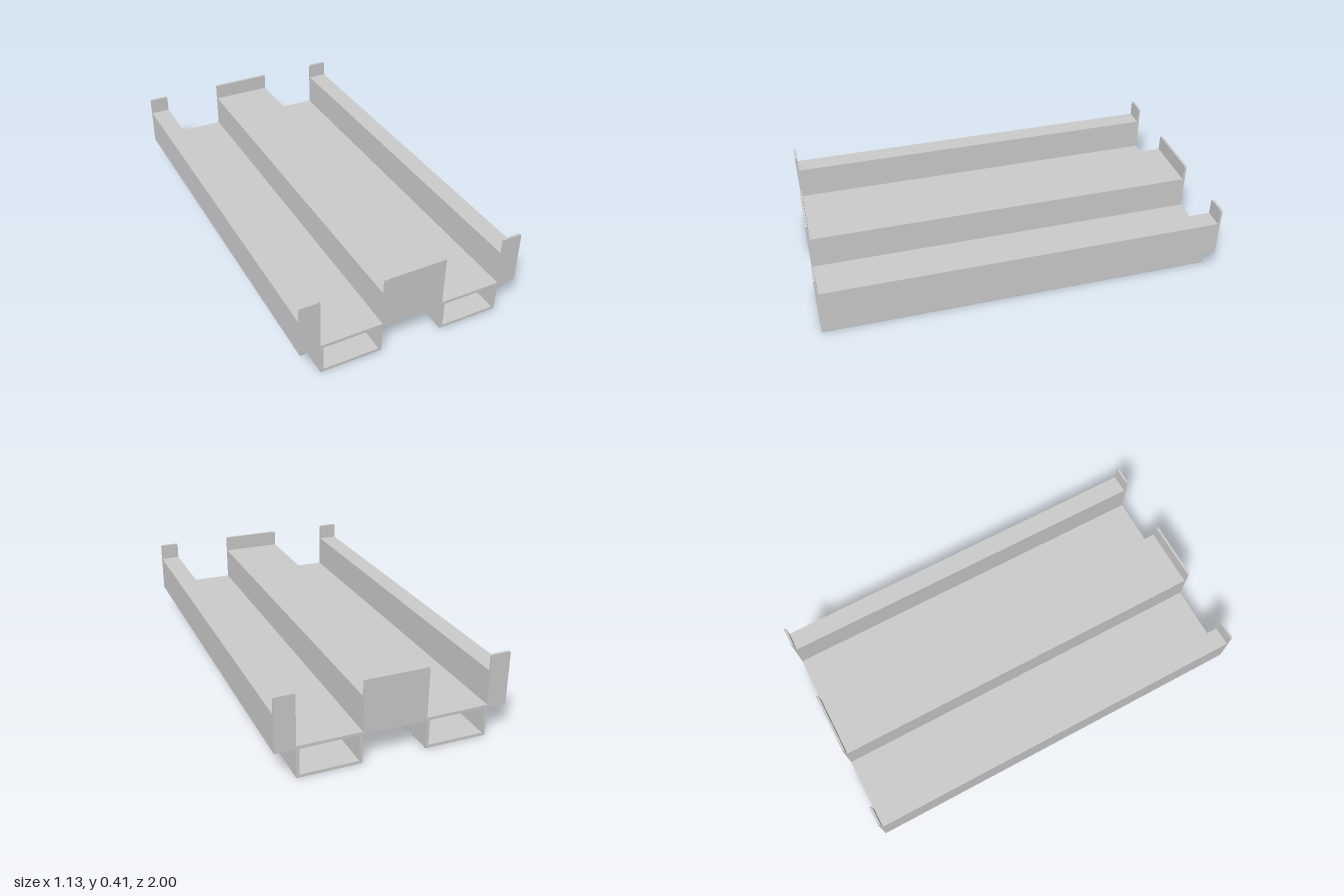
import * as THREE from 'three';

const LENGTH = 2, LIP = 0.012;   // overall length, end lip thickness
const INNER = 0.157, OUTER = 0.467, EDGE = 0.565; // channel and rail limits in x
const DECK = 0.16, WALL = 0.015, RAIL_TOP = 0.33, LIP_TOP = 0.413;

const material = new THREE.MeshStandardMaterial({ color: 0xcccccc, flatShading: true });

function add(group, name, geometry) {
  const mesh = new THREE.Mesh(geometry, material);
  mesh.name = name;
  group.add(mesh);
  return mesh;
}

// Rectangle outline with separately rounded bottom and top corners
function outline(Type, x0, x1, y0, y1, rb, rt) {
  const s = new Type();
  s.moveTo(x0 + rb, y0);
  s.lineTo(x1 - rb, y0);
  if (rb) s.quadraticCurveTo(x1, y0, x1, y0 + rb);
  s.lineTo(x1, y1 - rt);
  if (rt) s.quadraticCurveTo(x1, y1, x1 - rt, y1);
  s.lineTo(x0 + rt, y1);
  if (rt) s.quadraticCurveTo(x0, y1, x0, y1 - rt);
  s.lineTo(x0, y0 + rb);
  if (rb) s.quadraticCurveTo(x0, y0, x0 + rb, y0);
  return s;
}

function extrude(shape, depth, z) {
  return new THREE.ExtrudeGeometry(shape, { depth, bevelEnabled: false, curveSegments: 4 })
    .translate(0, 0, z - depth / 2);
}

// Solid raised rail with an upright lip closing each end
function addRail(parent, name, x0, x1) {
  const rail = new THREE.Group();
  rail.name = name;
  const bottom = DECK - WALL;
  const body = new THREE.BoxGeometry(x1 - x0, RAIL_TOP - bottom, LENGTH - 2 * LIP);
  body.translate((x0 + x1) / 2, (RAIL_TOP + bottom) / 2, 0);
  add(rail, 'railBody', body);
  for (const [end, side] of [['front', 1], ['back', -1]]) {
    const shape = outline(THREE.Shape, x0, x1, bottom, LIP_TOP, 0, 0.008);
    add(rail, end + 'Lip', extrude(shape, LIP, side * (LENGTH - LIP) / 2));
  }
  parent.add(rail);
}

export function createModel() {
  const model = new THREE.Group();
  model.name = 'railedTray';

  // Raised rails
  addRail(model, 'centreRail', -INNER, INNER);
  addRail(model, 'leftRail', OUTER, EDGE);
  addRail(model, 'rightRail', -EDGE, -OUTER);

  // Open rectangular tubes, whose tops form the channel floors
  for (const [name, x0, x1] of [['leftTube', INNER, OUTER], ['rightTube', -OUTER, -INNER]]) {
    const shape = outline(THREE.Shape, x0, x1, 0, DECK, 0.004, 0);
    shape.holes.push(outline(THREE.Path, x0 + WALL, x1 - WALL, WALL, DECK - WALL, 0, 0));
    add(model, name, extrude(shape, LENGTH, 0));
  }
  return model;
}
